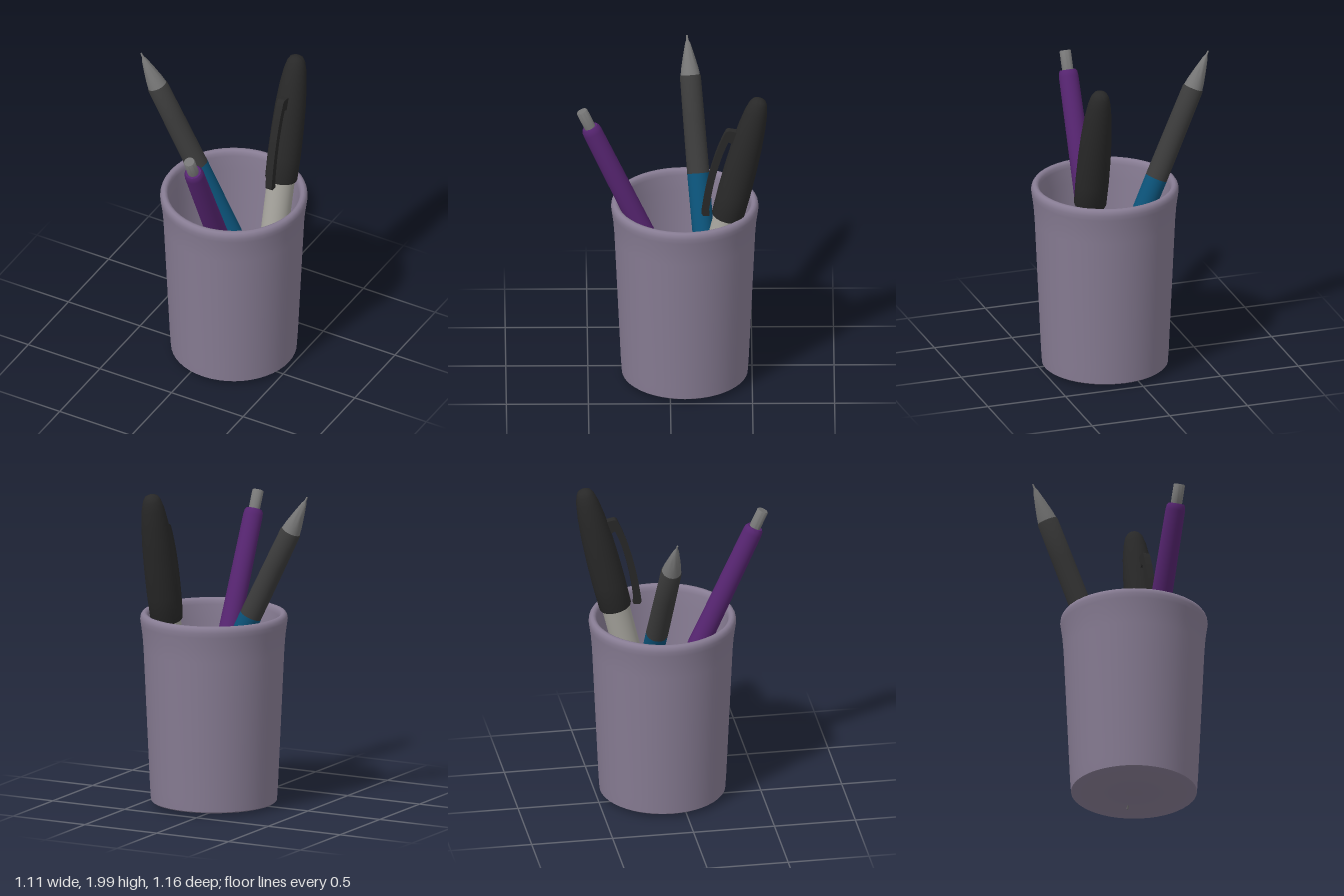
import * as THREE from 'three';
import { toCreasedNormals } from 'three/addons/utils/BufferGeometryUtils.js';

const UP = new THREE.Vector3(0, 1, 0);
const material = (color) => new THREE.MeshStandardMaterial({ color });

// Turned part from [radius, height] pairs, smooth except at sharp edges
function turned(name, color, profile, segments = 32) {
  const points = profile.map(([r, y]) => new THREE.Vector2(r, y));
  const geometry = toCreasedNormals(new THREE.LatheGeometry(points, segments), 0.7);
  const mesh = new THREE.Mesh(geometry, material(color));
  mesh.name = name;
  return mesh;
}

// Stand a group built along +y on point a, leaning towards point b
function lean(group, a, b) {
  const from = new THREE.Vector3(...a);
  const direction = new THREE.Vector3(...b).sub(from).normalize();
  group.position.copy(from);
  group.quaternion.setFromUnitVectors(UP, direction);
  return group;
}

// Click pen, writing point at the origin
function pen(name, color) {
  const group = new THREE.Group();
  group.name = name;
  group.add(
    turned('penTip', 0x757575, [
      [0, 0], [0.005, 0.003], [0.007, 0.03], [0.016, 0.05], [0.036, 0.13], [0.052, 0.2], [0.06, 0.25], [0, 0.25],
    ]),
    turned('penGrip', 0x3a3a3a, [
      [0, 0.245], [0.06, 0.245], [0.064, 0.255], [0.066, 0.5], [0.068, 0.845], [0, 0.845],
    ]),
    turned('penBarrel', color, [
      [0, 0.845], [0.068, 0.845], [0.064, 1.3], [0.06, 1.85], [0.057, 1.875], [0.048, 1.89], [0, 1.89],
    ]),
    turned('penButton', 0x757575, [
      [0, 1.88], [0.035, 1.88], [0.035, 2.005], [0.031, 2.01], [0, 2.01],
    ]),
  );
  return group;
}

// Capped marker, barrel end at the origin
function marker() {
  const group = new THREE.Group();
  group.name = 'marker';
  group.add(
    turned('markerBarrel', 0xa5a39c, [
      [0, 0], [0.06, 0], [0.073, 0.008], [0.08, 0.03], [0.083, 0.6], [0.085, 1.22], [0, 1.22],
    ]),
    turned('markerCap', 0x282828, [
      [0, 1.18], [0.095, 1.18], [0.099, 1.19], [0.102, 1.35], [0.1, 1.52], [0.094, 1.68],
      [0.083, 1.82], [0.069, 1.92], [0.055, 1.975], [0.04, 2], [0.02, 2.01], [0, 2.013],
    ]),
  );
  return group;
}

// Curved pocket clip, drawn in side profile (z, y) and given a width in x
function clip(x, width) {
  const shape = new THREE.Shape();
  shape.moveTo(-0.19, 1.215);
  shape.quadraticCurveTo(-0.235, 1.56, -0.335, 1.765);
  shape.quadraticCurveTo(-0.345, 1.785, -0.365, 1.78);
  shape.lineTo(-0.42, 1.77);
  shape.lineTo(-0.4, 1.68);
  shape.lineTo(-0.355, 1.705);
  shape.quadraticCurveTo(-0.27, 1.52, -0.235, 1.23);
  shape.lineTo(-0.24, 1.2);
  shape.lineTo(-0.2, 1.2);
  const geometry = new THREE.ExtrudeGeometry(shape, { depth: width, bevelEnabled: false, curveSegments: 10 });
  geometry.rotateY(-Math.PI / 2).translate(x + width / 2, 0, 0);
  const mesh = new THREE.Mesh(toCreasedNormals(geometry, 0.6), material(0x282828));
  mesh.name = 'markerClip';
  return mesh;
}

export function createModel() {
  const model = new THREE.Group();
  model.name = 'penCup';

  // Cup: tapered wall, flared rounded lip, filleted floor inside
  const cup = turned('cup', 0x877c93, [
    [0, 0.025], [0.375, 0.025], [0.384, 0.032], [0.39, 0.12], [0.429, 0.97], [0.436, 1.06], [0.446, 1.13],
    [0.45, 1.16], [0.447, 1.18], [0.438, 1.195], [0.425, 1.2], [0.412, 1.196], [0.403, 1.183], [0.399, 1.16],
    [0.394, 1.06], [0.386, 0.95], [0.352, 0.2], [0.343, 0.13], [0.324, 0.09], [0.295, 0.068], [0.26, 0.06], [0, 0.06],
  ], 48);
  cup.position.set(0.105, 0, -0.09);
  model.add(cup);

  // Pens: one standing on its point, one with its point upwards
  model.add(
    lean(pen('purplePen', 0x55246f), [0.145, 0.005, -0.292], [0.145, 1.84, 0.54]),
    lean(pen('bluePen', 0x0b5278), [-0.555, 1.99, -0.108], [0.32, 0.12, -0.27]),
  );

  // Marker with its clip facing the front
  model.add(lean(marker(), [0.29, 0.04, -0.07], [0.29, 1.995, -0.545]), clip(0.29, 0.044));
  return model;
}
